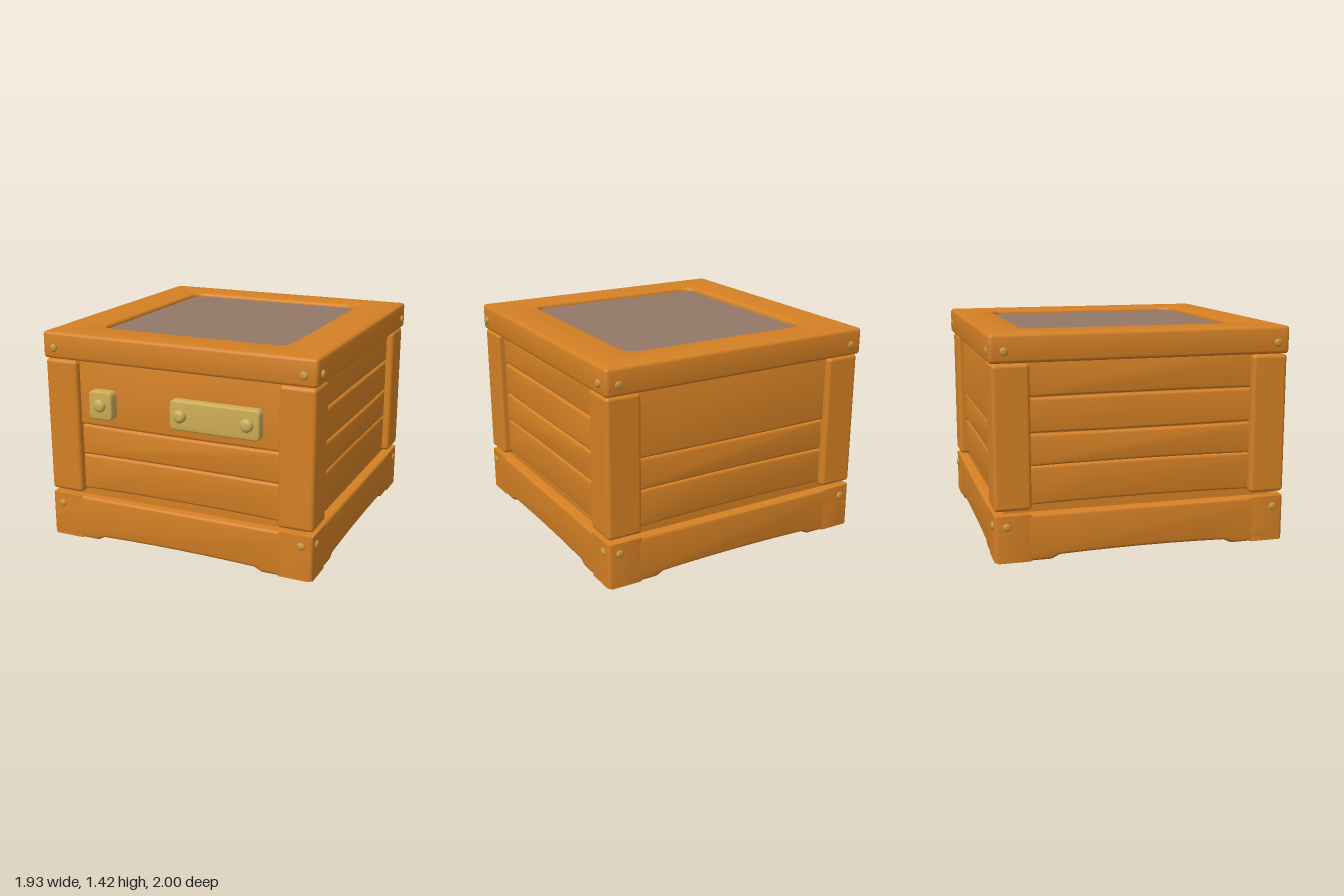
import * as THREE from 'three';
import { RoundedBoxGeometry } from 'three/addons/geometries/RoundedBoxGeometry.js';
import { toCreasedNormals } from 'three/addons/utils/BufferGeometryUtils.js';

const mat = (name, color) => {
  const m = new THREE.MeshStandardMaterial({ color });
  m.name = name;
  return m;
};

export function createModel() {
  const wood = mat('orange wood', 0xd48024);
  const brass = mat('brass', 0xcbab54);
  const bronze = mat('bronze rivet', 0xc4933c);
  const pane = mat('smoky pane', 0x937868);

  const ZC = -0.013; // the box sits slightly behind centre because the clasp sticks out
  const crate = new THREE.Group();
  crate.name = 'crate';
  const body = new THREE.Group();
  body.name = 'body';
  body.position.z = ZC;
  crate.add(body);

  const add = (parent, name, geo, material, x = 0, y = 0, z = 0) => {
    const m = new THREE.Mesh(geo, material);
    m.name = name;
    m.position.set(x, y, z);
    parent.add(m);
    return m;
  };
  const rounded = (w, h, d, r) => new RoundedBoxGeometry(w, h, d, 3, r);

  // Bevelled extrusion whose outline and depth stay exact, running from z = 0 to depth
  const slab = (shape, depth, bevel) => {
    const g = new THREE.ExtrudeGeometry(shape, {
      depth: depth - 2 * bevel, bevelEnabled: true, bevelThickness: bevel,
      bevelSize: bevel, bevelOffset: -bevel, bevelSegments: 3, curveSegments: 6,
    });
    g.translate(0, 0, bevel);
    return toCreasedNormals(g, 0.6);
  };

  const roundRect = (P, x0, y0, x1, y1, r) => {
    const s = new P();
    s.moveTo(x0 + r, y0);
    s.lineTo(x1 - r, y0);
    s.quadraticCurveTo(x1, y0, x1, y0 + r);
    s.lineTo(x1, y1 - r);
    s.quadraticCurveTo(x1, y1, x1 - r, y1);
    s.lineTo(x0 + r, y1);
    s.quadraticCurveTo(x0, y1, x0, y1 - r);
    s.lineTo(x0, y0 + r);
    s.quadraticCurveTo(x0, y0, x0 + r, y0);
    return s;
  };

  // Domed rivet head pointing along +z
  const dome = (r, h) => {
    const pts = [[r, 0], [r, h * 0.45], [r * 0.8, h * 0.85], [r * 0.45, h], [0, h]];
    const g = new THREE.LatheGeometry(pts.map(p => new THREE.Vector2(...p)), 18);
    return g.rotateX(Math.PI / 2);
  };

  // Plank with gently bowed long edges
  const plank = (half, y0, y1, bow0, bow1) => {
    const s = new THREE.Shape();
    s.moveTo(-half, y0);
    s.quadraticCurveTo(0, y0 + 2 * bow0, half, y0);
    s.lineTo(half, y1);
    s.quadraticCurveTo(0, y1 + 2 * bow1, -half, y1);
    s.lineTo(-half, y0);
    return slab(s, 0.1, 0.018);
  };

  // Base board with a shallow arch between the feet
  const baseBoard = half => {
    const s = new THREE.Shape();
    s.moveTo(-half, 0);
    s.lineTo(-0.6, 0);
    s.lineTo(-0.55, 0.025);
    s.quadraticCurveTo(0, 0.045, 0.55, 0.025);
    s.lineTo(0.6, 0);
    s.lineTo(half, 0);
    s.lineTo(half, 0.3);
    s.lineTo(-half, 0.3);
    return slab(s, 0.24, 0.022);
  };

  // Inner core and floor
  add(body, 'core', new THREE.BoxGeometry(1.74, 1.22, 1.78), wood, 0, 0.69, 0);
  add(body, 'floor', new THREE.BoxGeometry(1.5, 0.1, 1.5), wood, 0, 0.085, 0);

  // Four walls: planks, base board and corner rivets, each built facing +z
  const wide = [[0.345, 0.59, 0.01, 0.006], [0.59, 0.8, 0.006, -0.004], [0.805, 1.25, -0.004, 0]];
  const narrow = [[0.345, 0.59, 0.01, 0.008], [0.59, 0.795, 0.008, -0.004],
    [0.8, 1.018, -0.004, 0.004], [1.023, 1.25, 0.004, 0]];
  const names = ['front', 'left', 'back', 'right'];
  names.forEach((side, i) => {
    const wall = new THREE.Group();
    wall.name = side + 'Wall';
    wall.rotation.y = i * Math.PI / 2;
    body.add(wall);
    const across = i % 2 === 0;
    const dist = across ? 0.957 : 0.94;
    const half = across ? 0.94 : 0.957;
    for (const p of across ? wide : narrow) {
      const top = across && p[0] > 0.8;
      add(wall, 'plank', plank(half - 0.2, ...p), wood, 0, 0, dist - (top ? 0.14 : 0.15));
    }
    add(wall, 'baseBoard', baseBoard(half), wood, 0, 0, dist - 0.24);
    for (const s of [-1, 1]) {
      const x = s * (half - 0.075);
      add(wall, 'baseRivet', dome(0.026, 0.018), bronze, x, 0.23, dist - 0.004);
      add(wall, 'lidRivet', dome(0.026, 0.018), bronze, x, 1.315, dist + 0.009);
    }
  });

  // Corner posts
  for (const sx of [-1, 1]) for (const sz of [-1, 1]) {
    add(body, 'cornerPost', rounded(0.235, 0.91, 0.235, 0.025), wood, sx * 0.8225, 0.783, sz * 0.84);
  }

  // Lid frame with a rounded opening
  const frame = roundRect(THREE.Shape, -0.95, -0.97, 0.95, 0.97, 0.03);
  frame.holes.push(roundRect(THREE.Path, -0.655, -0.705, 0.655, 0.705, 0.1));
  const lid = add(body, 'lidFrame', slab(frame, 0.178, 0.022), wood, 0, 1.242, -0.005);
  lid.rotation.x = -Math.PI / 2;

  // Pane set into the lid
  add(body, 'lidPane', new THREE.BoxGeometry(1.4, 0.08, 1.5), pane, 0, 1.355, -0.005);

  // Clasp plates and their studs on the front
  const plate = (name, x0, x1, y0, y1, front, studs) => {
    const g = new THREE.Group();
    g.name = name;
    crate.add(g);
    const outline = roundRect(THREE.Shape, x0, y0, x1, y1, 0.035);
    add(g, 'plate', slab(outline, front - 0.87, 0.012), brass, 0, 0, 0.87);
    for (const x of studs) add(g, 'stud', dome(0.042, 1 - front), brass, x, 0.97, front);
  };
  plate('smallPlate', -0.605, -0.435, 0.872, 1.063, 0.972, [-0.52]);
  plate('longPlate', -0.022, 0.59, 0.872, 1.068, 0.963, [0.055, 0.51]);

  return crate;
}
